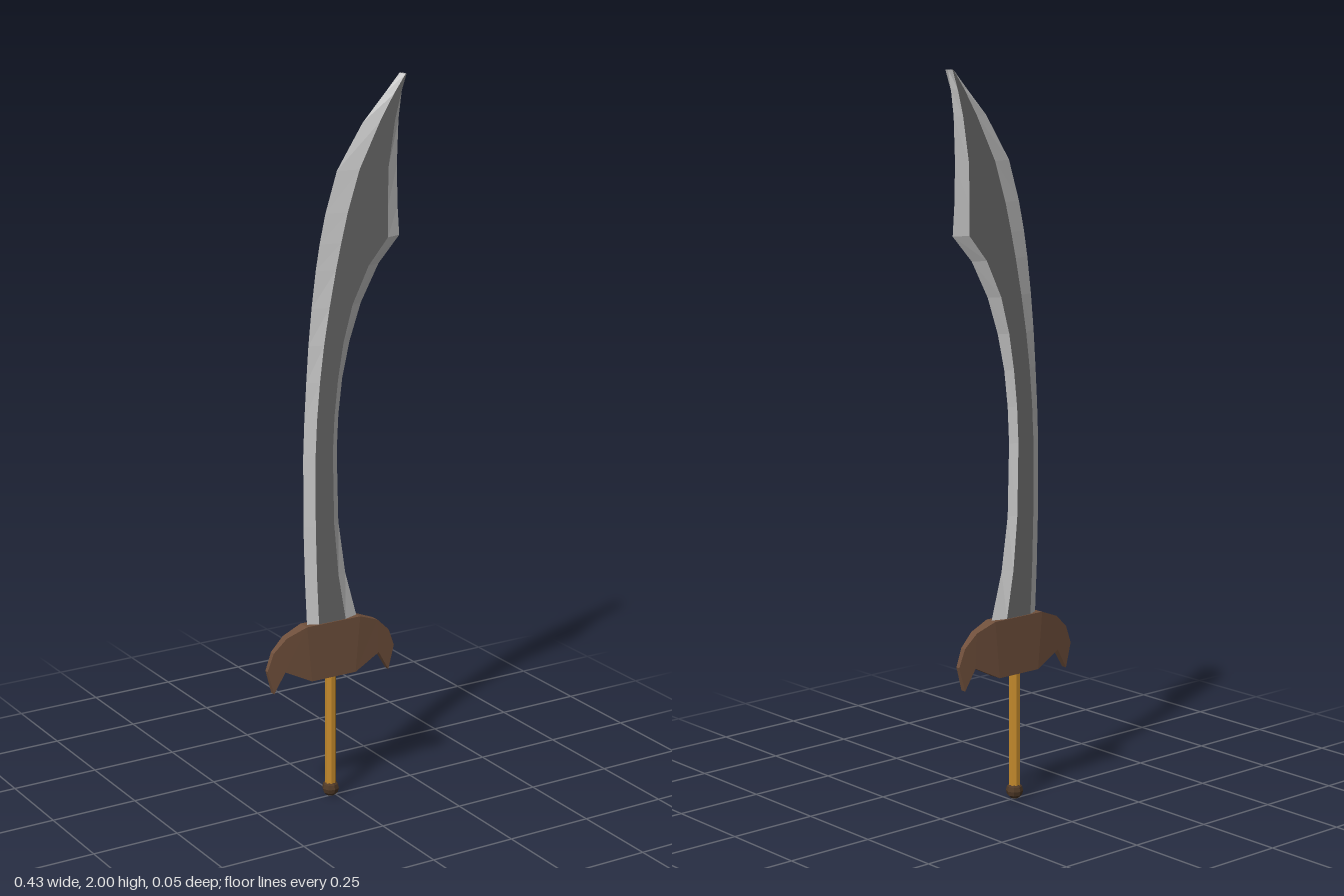
import * as THREE from 'three';

const AXIS_X = -0.015; // centre line of hilt

const steel = new THREE.MeshStandardMaterial({ name: 'lightSteel', color: 0xcccccc });
const darkSteel = new THREE.MeshStandardMaterial({ name: 'darkSteel', color: 0x6a6a6a });
const wood = new THREE.MeshStandardMaterial({ name: 'brownGuard', color: 0x70503c });
const gold = new THREE.MeshStandardMaterial({ name: 'goldGrip', color: 0xc48a2c });
const darkBrown = new THREE.MeshStandardMaterial({ name: 'darkBrownPommel', color: 0x503a28 });
for (const m of [steel, darkSteel, wood, gold, darkBrown]) m.flatShading = true;

// Blade rows: height, back edge, back ridge, front ridge, cutting edge
const ROWS = [
  [0.45, -0.087, -0.057, 0.045, 0.09],
  [0.52, -0.09, -0.06, 0.025, 0.068],
  [0.65, -0.096, -0.066, 0.002, 0.032],
  [0.8, -0.1, -0.07, -0.012, 0.01],
  [1.0, -0.1, -0.07, -0.016, 0.005],
  [1.1, -0.096, -0.065, -0.011, 0.01],
  [1.2, -0.09, -0.056, 0, 0.022],
  [1.3, -0.083, -0.043, 0.017, 0.045],
  [1.4, -0.073, -0.026, 0.045, 0.08],
  [1.5, -0.06, -0.006, 0.095, 0.135],
  [1.57, -0.048, 0.01, 0.155, 0.2],
  [1.65, -0.03, 0.03, 0.154, 0.194],
  [1.76, 0.005, 0.066, 0.156, 0.191],
  [1.88, 0.084, 0.128, 0.175, 0.195],
  [1.95, 0.15, 0.171, 0.193, 0.204],
  [2.0, 0.204, 0.207, 0.21, 0.213],
];
const HALF = 0.0145;

// One strip of blade surface between two columns, on both sides
function bladeStrip(name, material, a, b, za, zb) {
  const pos = [];
  for (let i = 0; i < ROWS.length - 1; i++) {
    const r = ROWS[i], s = ROWS[i + 1];
    for (const side of [1, -1]) {
      const p = [r[a], r[0], za * side], q = [r[b], r[0], zb * side];
      const t = [s[b], s[0], zb * side], u = [s[a], s[0], za * side];
      const tris = side > 0 ? [p, q, t, p, t, u] : [p, t, q, p, u, t];
      tris.forEach((v) => pos.push(...v));
    }
  }
  // close the tip
  const e = ROWS[ROWS.length - 1];
  const cap = [[e[a], e[0], za], [e[b], e[0], zb], [e[b], e[0], -zb], [e[a], e[0], -za]];
  for (const k of [0, 1, 2, 0, 2, 3]) pos.push(...cap[k]);
  const g = new THREE.BufferGeometry();
  g.setAttribute('position', new THREE.Float32BufferAttribute(pos, 3));
  g.computeVertexNormals();
  const mesh = new THREE.Mesh(g, material);
  mesh.name = name;
  return mesh;
}

// Guard slab that thins towards its outer ends
function guardPart(name, points) {
  const shape = new THREE.Shape(points.map(([x, y]) => new THREE.Vector2(x, y)));
  const g = new THREE.ExtrudeGeometry(shape, { depth: 2, bevelEnabled: false });
  g.translate(0, 0, -1);
  const p = g.attributes.position;
  for (let i = 0; i < p.count; i++) {
    const t = THREE.MathUtils.clamp((Math.abs(p.getX(i)) - 0.08) / 0.123, 0, 1);
    p.setZ(i, p.getZ(i) * (0.0185 - 0.0125 * t));
  }
  g.computeVertexNormals();
  const mesh = new THREE.Mesh(g, wood);
  mesh.name = name;
  mesh.position.x = AXIS_X;
  return mesh;
}

export function createModel() {
  const sword = new THREE.Group();
  sword.name = 'sword';

  // Blade
  const blade = new THREE.Group();
  blade.name = 'blade';
  blade.add(
    bladeStrip('backBevel', steel, 1, 2, 0, HALF),
    bladeStrip('bladeFlat', darkSteel, 2, 3, HALF, HALF),
    bladeStrip('cuttingBevel', steel, 3, 4, HALF, 0),
  );
  sword.add(blade);

  // Guard: centre block and two hooked ends
  const guard = new THREE.Group();
  guard.name = 'guard';
  guard.add(guardPart('guardCentre', [[-0.07, 0.36], [0.07, 0.36], [0.085, 0.52], [-0.085, 0.52]]));
  const hook = [[0.07, 0.36], [0.15, 0.4], [0.184, 0.342], [0.203, 0.41], [0.184, 0.46], [0.145, 0.497], [0.085, 0.52]];
  for (const s of [1, -1]) {
    guard.add(guardPart(s > 0 ? 'leftHook' : 'rightHook', hook.map(([x, y]) => [x * s, y])));
  }
  sword.add(guard);

  // Grip
  const grip = new THREE.Mesh(new THREE.CylinderGeometry(0.016, 0.016, 0.35, 8), gold);
  grip.name = 'grip';
  grip.position.set(AXIS_X, 0.2, 0);
  grip.rotation.y = Math.PI / 8;
  sword.add(grip);

  // Pommel
  const pommel = new THREE.Mesh(new THREE.SphereGeometry(0.024, 8, 6), darkBrown);
  pommel.name = 'pommel';
  pommel.position.set(AXIS_X, 0.024, 0);
  sword.add(pommel);

  return sword;
}
